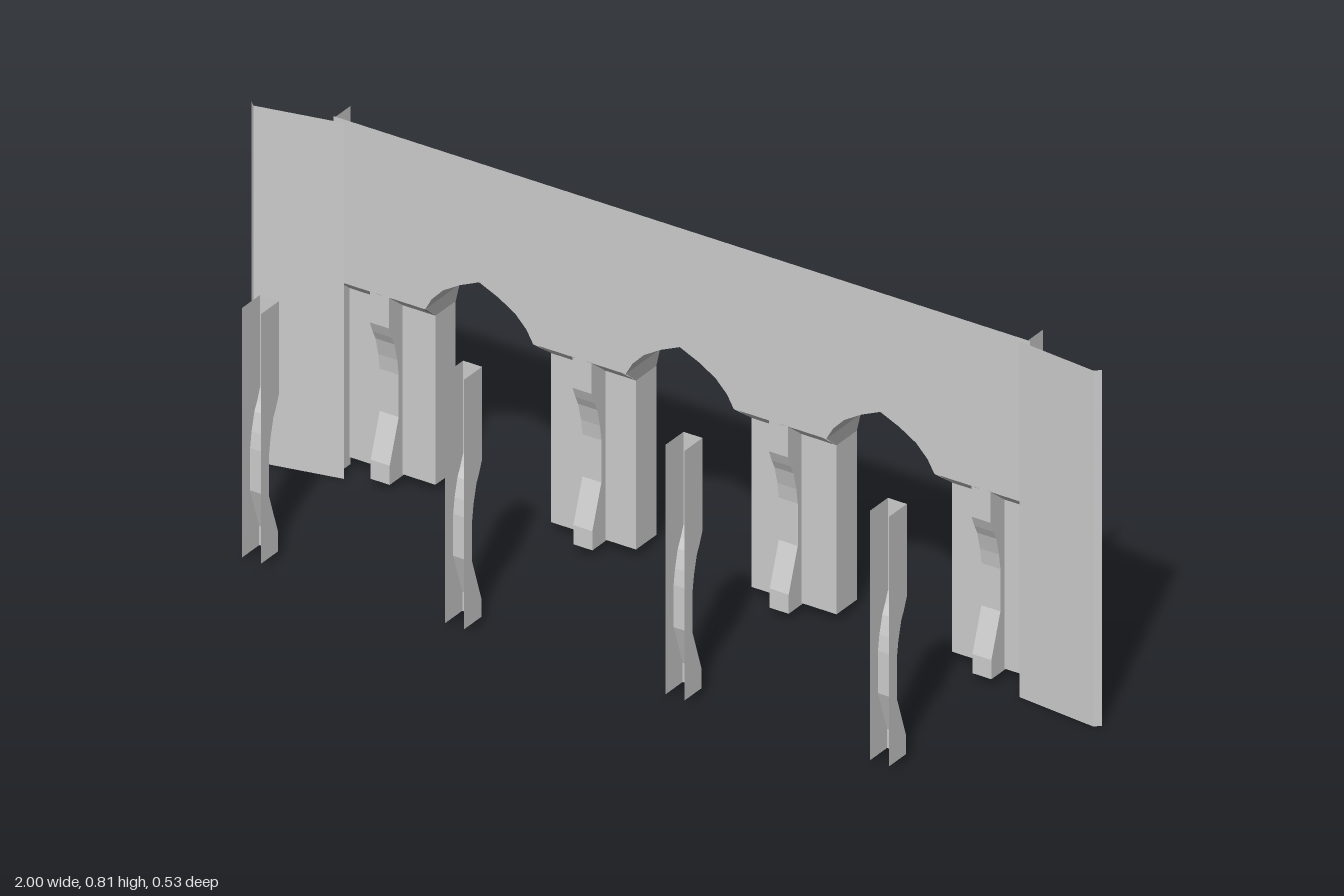
import * as THREE from 'three';

const stone = new THREE.MeshStandardMaterial({ color: 0xcccccc, side: THREE.DoubleSide });
stone.name = 'pale grey stone';

const WALL_Z = -0.14, PANEL_Z = -0.19, BACK_Z = -0.262;
const SOFFIT_TOP = 0.44, SPRING = 0.40, FOOT = 0.02;
const ARCHES = [-0.48, -0.005, 0.47];

// Pointed arch, right half, from springing to apex (offset from centre, height)
const HALF_ARCH = [[0.137, SPRING], [0.128, SOFFIT_TOP], [0.112, 0.468], [0.085, 0.496], [0.045, 0.52], [0, 0.54]];
const archPoints = (cx, from = 0) => {
  const half = HALF_ARCH.slice(from);
  return [
    ...half.map(([x, y]) => [cx - x, y]),
    ...half.slice(0, -1).reverse().map(([x, y]) => [cx + x, y]),
  ];
};

// Flat-shaded strip of quads between two matching lines of 3D points
function ribbon(a, b) {
  const pos = [];
  for (let i = 0; i < a.length - 1; i++) {
    pos.push(...a[i], ...a[i + 1], ...b[i + 1], ...a[i], ...b[i + 1], ...b[i]);
  }
  const g = new THREE.BufferGeometry();
  g.setAttribute('position', new THREE.Float32BufferAttribute(pos, 3));
  g.computeVertexNormals();
  return g;
}

function add(parent, name, geometry) {
  const mesh = new THREE.Mesh(geometry, stone);
  mesh.name = name;
  parent.add(mesh);
  return mesh;
}

function flatShape(points, z) {
  const shape = new THREE.Shape(points.map(([x, y]) => new THREE.Vector2(x, y)));
  return new THREE.ShapeGeometry(shape).translate(0, 0, z);
}

// Hollow post: curved face plus two side plates; dir is the way the depth runs
const POST = [[0, 0.37], [0.01, 0.345], [0.02, 0.325], [0.03, 0.285], [0.035, 0.25], [0.035, 0.155], [0.003, 0.06], [0.003, 0.017]];
function post(name, cx, z, dir, top) {
  const group = new THREE.Group();
  group.name = name;
  const profile = [[0, top], ...POST];
  const line = (x, depth) => profile.map(([d, y]) => [x, y, z + dir * (depth ?? d)]);
  const l = cx - 0.0225, r = cx + 0.0225;
  add(group, 'curvedFace', ribbon(line(l), line(r)));
  for (const x of [l, r]) add(group, 'sidePlate', ribbon(line(x), line(x, 0.064)));
  return group;
}

export function createModel() {
  const model = new THREE.Group();
  model.name = 'arcade';

  // Main wall, its lower edge cut by three pointed arches
  const edge = [[-0.8, SOFFIT_TOP]];
  for (const cx of ARCHES) edge.push(...archPoints(cx, 1));
  edge.push([0.8, SOFFIT_TOP], [0.825, SOFFIT_TOP], [0.825, 0.808], [-0.825, 0.808], [-0.825, SOFFIT_TOP]);
  add(model, 'archedWall', flatShape(edge, WALL_Z));

  // Angled end walls with narrow returns
  const ends = [
    ['rightEndWall', [[-1, -0.112], [-0.988, -0.1], [-0.8, WALL_Z]]],
    ['leftEndWall', [[0.8, WALL_Z], [0.987, -0.121], [1, -0.133]]],
  ];
  for (const [name, plan] of ends) {
    add(model, name, ribbon(plan.map(([x, z]) => [x, 0, z]), plan.map(([x, z]) => [x, 0.8, z])));
  }

  // Upright fins behind the wall ends
  for (const x of [-0.823, 0.817]) {
    add(model, 'backFin', ribbon([[x, 0, WALL_Z], [x, 0.805, WALL_Z]], [[x, 0, -0.198], [x, 0.805, -0.198]]));
  }

  // Arch linings: deep vaults on jambs
  for (const cx of ARCHES) {
    const curve = archPoints(cx);
    const front = curve.map(([x, y]) => [x, y, y < SOFFIT_TOP ? PANEL_Z : WALL_Z]);
    const back = curve.map(([x, y]) => [x, y, BACK_Z]);
    const w = HALF_ARCH[0][0];
    front.unshift([cx - w, FOOT, PANEL_Z]);
    back.unshift([cx - w, FOOT, BACK_Z]);
    front.push([cx + w, FOOT, PANEL_Z]);
    back.push([cx + w, FOOT, BACK_Z]);
    add(model, 'archLining', ribbon(front, back));
  }

  // Gabled back face around the middle arch
  const mid = ARCHES[1];
  add(model, 'backGable', flatShape([
    [-0.343, FOOT], [mid - 0.137, FOOT], ...archPoints(mid), [mid + 0.137, FOOT], [0.333, FOOT],
    [0.333, SPRING], [0.275, 0.53], [mid, 0.66], [-0.285, 0.53], [-0.343, SPRING],
  ], BACK_Z));

  // Piers: sloping soffit and recessed panel between the openings
  const piers = [[-0.82, -0.617], [-0.343, -0.142], [0.132, 0.333], [0.607, 0.815]];
  for (const [l, r] of piers) {
    const section = [[SOFFIT_TOP, WALL_Z], [SPRING, PANEL_Z], [FOOT, PANEL_Z]];
    add(model, 'recessedPier', ribbon(section.map(([y, z]) => [l, y, z]), section.map(([y, z]) => [r, y, z])));
  }

  // Waisted posts: one set on the piers, one set free-standing in front
  for (const x of [-0.717, -0.237, 0.228, 0.708]) model.add(post('pierPost', x, -0.141, -1, 0.445));
  for (const x of [-0.749, -0.268, 0.254, 0.738]) model.add(post('frontPost', x, 0.2, 1, 0.578));

  return model;
}
